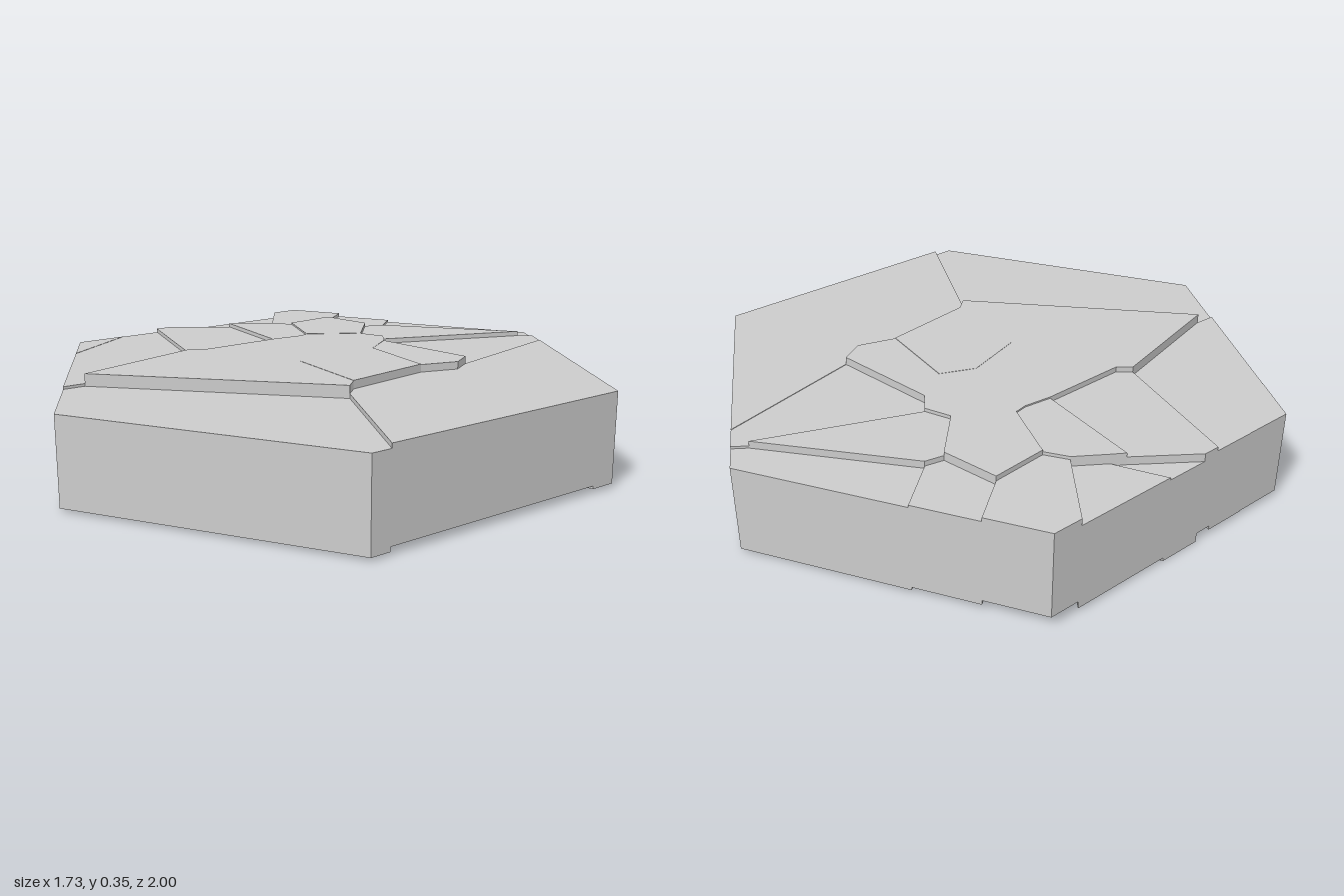
import * as THREE from 'three';

// Plan-view corner points [x, z]: H = hexagon corners, B = cracks on the rim, letters = inner junctions
const P = {
  H0: [0, -1], H1: [0.866, -0.5], H2: [0.866, 0.5], H3: [0, 1], H4: [-0.866, 0.5], H5: [-0.866, -0.5],
  B1: [-0.09, -0.948], B2: [0.18, -0.896], B3: [0.37, -0.786], B4: [0.866, -0.395], B5: [0.866, -0.3],
  B6: [0.785, 0.547], B7: [0.06, 0.965], B8: [-0.866, 0.2], B9: [-0.866, -0.3], B10: [-0.71, -0.59],
  B11: [-0.58, -0.665], B12: [-0.53, -0.694], B13: [-0.4, -0.769],
  a: [-0.125, -0.66], b: [-0.05, -0.62], c: [0.11, -0.73], d: [0.24, -0.58], e: [0.3, -0.6],
  f: [-0.015, -0.39], g: [0.19, -0.38], h: [0.265, -0.32], i: [0.81, -0.4], j: [-0.05, -0.36],
  k: [-0.14, -0.32], l: [-0.295, -0.67], m: [-0.245, -0.668], n: [-0.455, -0.175], o: [-0.4, -0.165],
  p: [-0.09, 0.07], q: [0.063, -0.095], r: [0.19, -0.11], s: [0.255, -0.24], t: [0.487, 0.06],
  u: [0.44, 0.14], v: [0.307, 0.17], w: [0.048, 0.37], x: [0.027, 0.43], y: [-0.8, 0.165],
};

// Each slab: name, outline, underside height, top height
const SLABS = [
  ['frontLeftSlab', 'B7 x y B8 H4 H3', 0.01, 0.305],
  ['frontRightSlab', 'B7 x w v u B6', 0.025, 0.32],
  ['rightSlab', 'B6 u t B5 H2', 0.015, 0.32],
  ['rightWedge', 'B5 t s h i B4', 0.015, 0.318],
  ['backRightCorner', 'B4 i e B3 H1', 0.012, 0.31],
  ['innerRightWedge', 'i h g d e', 0.038, 0.335],
  ['backRightSlab', 'B3 e d c B2', 0.022, 0.318],
  ['backCorner', 'B2 c b a B1 H0', 0.037, 0.331],
  ['innerBackSlab', 'b c d g f', 0.05, 0.348],
  ['centreSlab', 'f g h s r q', 0.05, 0.347],
  ['innerFrontSlab', 'q r v w p', 0.05, 0.348],
  ['innerRightSlab', 'r s t u v', 0.05, 0.346],
  ['innerLeftSlab', 'o k j f q p', 0.05, 0.347],
  ['innerBackLeftSlab', 'l k j f b a m', 0.045, 0.342],
  ['backLeftSlab', 'B11 B12 l k o n', 0.032, 0.328],
  ['backLeftWedge', 'B12 B13 m l', 0, 0.3],
  ['backSlab', 'B13 B1 a m', 0.012, 0.308],
  ['backLeftCorner', 'B9 H5 B10', 0.02, 0.315],
  ['leftSlab', 'B10 B11 n y B8 B9', 0.018, 0.314],
  ['innerLongSlab', 'n o p w x y', 0.05, 0.347],
];

export function createModel() {
  const group = new THREE.Group();
  group.name = 'crackedHexagonTile';
  const stone = new THREE.MeshStandardMaterial({ color: 0xcccccc, flatShading: true });

  // Extrude every outline upward from its own underside
  for (const [name, outline, bottom, top] of SLABS) {
    const shape = new THREE.Shape(outline.split(' ').map((key) => new THREE.Vector2(P[key][0], -P[key][1])));
    const geometry = new THREE.ExtrudeGeometry(shape, { depth: top - bottom, bevelEnabled: false });
    geometry.rotateX(-Math.PI / 2);
    const slab = new THREE.Mesh(geometry, stone);
    slab.name = name;
    slab.position.y = bottom;
    group.add(slab);
  }
  return group;
}
